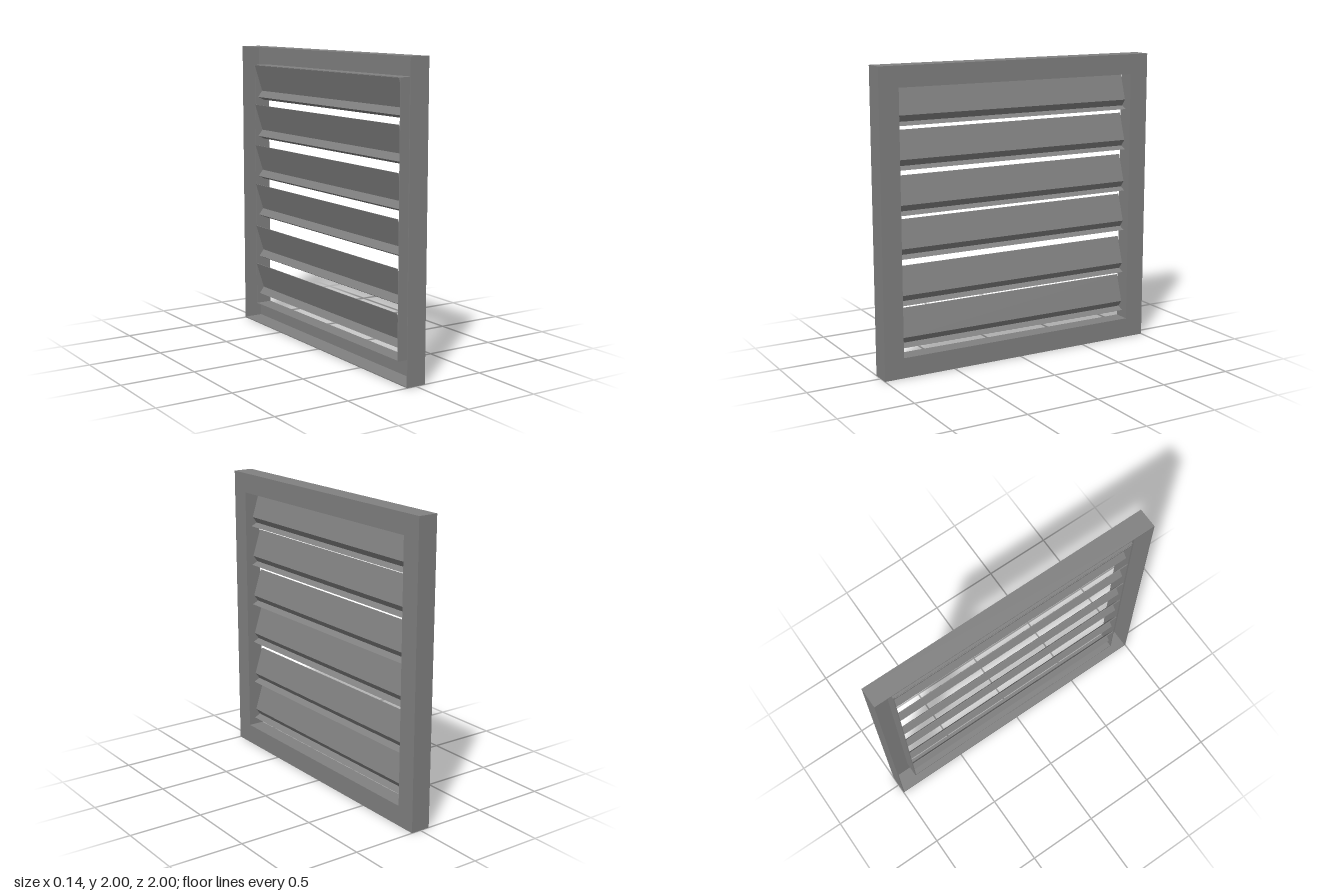
import * as THREE from 'three';

const SHEET = 0.006; // sheet metal thickness

// Square ring of given outer half-size and band width, spanning x0..x1
function squareRing(half, band, x0, x1) {
  const square = (Type, h) => {
    const p = new Type();
    p.moveTo(-h, -h);
    p.lineTo(h, -h);
    p.lineTo(h, h);
    p.lineTo(-h, h);
    p.closePath();
    return p;
  };
  const shape = square(THREE.Shape, half);
  shape.holes.push(square(THREE.Path, half - band));
  const geo = new THREE.ExtrudeGeometry(shape, { depth: x1 - x0, bevelEnabled: false });
  geo.rotateY(Math.PI / 2);
  geo.translate(x0, 1, 0);
  return geo;
}

// Folded blade: sloping face, return fold and drip lip, running along z
function slatGeometry(halfLength) {
  const profile = [[-0.043, 0.246], [0.015, 0.064], [-0.018, 0.021], [0.026, 0]];
  const back = profile.map(([x, y]) => [x - SHEET, y]).reverse();
  const shape = new THREE.Shape([...profile, ...back].map(([x, y]) => new THREE.Vector2(x, y)));
  const geo = new THREE.ExtrudeGeometry(shape, { depth: 2 * halfLength, bevelEnabled: false });
  geo.translate(0, 0, -halfLength);
  return geo;
}

export function createModel() {
  const model = new THREE.Group();
  model.name = 'louverVent';
  const metal = new THREE.MeshStandardMaterial({ color: 0x808080 });
  metal.name = 'grey metal';

  const add = (name, geo, y = 0) => {
    const mesh = new THREE.Mesh(geo, metal);
    mesh.name = name;
    mesh.position.y = y;
    model.add(mesh);
  };

  // Channel frame, open at the back
  add('frameFlange', squareRing(1, 0.135, 0.068 - SHEET, 0.068));
  add('frameOuterWall', squareRing(1, SHEET, -0.068, 0.068 - SHEET));
  add('frameInnerWall', squareRing(0.865 + SHEET, SHEET, -0.043, 0.068 - SHEET));

  // Slats, by height of their lower edge
  const slat = slatGeometry(0.859);
  [0.187, 0.466, 0.771, 1.053, 1.343, 1.622].forEach((y, i) => add(`slat${i + 1}`, slat, y));

  return model;
}
